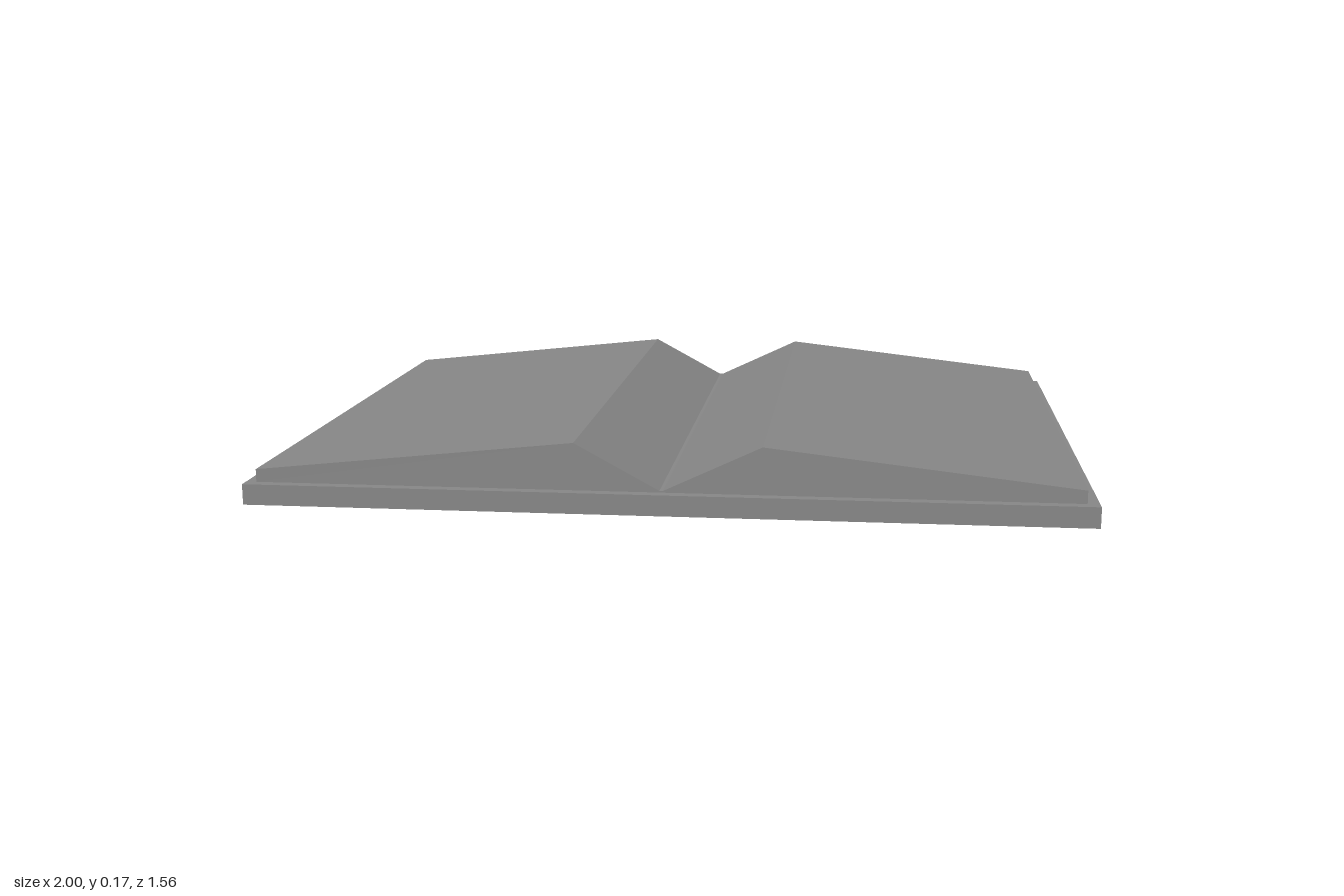
import * as THREE from 'three';

const COVER_TOP = 0.05;
const PAGE_BOTTOM = 0.053;
const PAGE_DEPTH = 1.526;

export function createModel() {
  const group = new THREE.Group();
  group.name = 'openBook';
  const material = new THREE.MeshStandardMaterial({ color: 0x868686, flatShading: true });

  // Flat cover lying open
  const cover = new THREE.Mesh(new THREE.BoxGeometry(2, COVER_TOP, 1.556), material);
  cover.name = 'cover';
  cover.position.y = COVER_TOP / 2;
  group.add(cover);

  // Page block: each side rises from its outer edge to a ridge, then dips to the narrow gutter
  const profile = [
    [-0.97, PAGE_BOTTOM], [0.97, PAGE_BOTTOM], [0.97, 0.084], [0.235, 0.166],
    [0.004, 0.057], [-0.004, 0.057], [-0.205, 0.166], [-0.97, 0.084],
  ];
  const shape = new THREE.Shape(profile.map(([x, y]) => new THREE.Vector2(x, y)));
  const geometry = new THREE.ExtrudeGeometry(shape, { depth: PAGE_DEPTH, bevelEnabled: false });
  geometry.translate(0, 0, -PAGE_DEPTH / 2);
  const pages = new THREE.Mesh(geometry, material);
  pages.name = 'pages';
  group.add(pages);

  return group;
}
